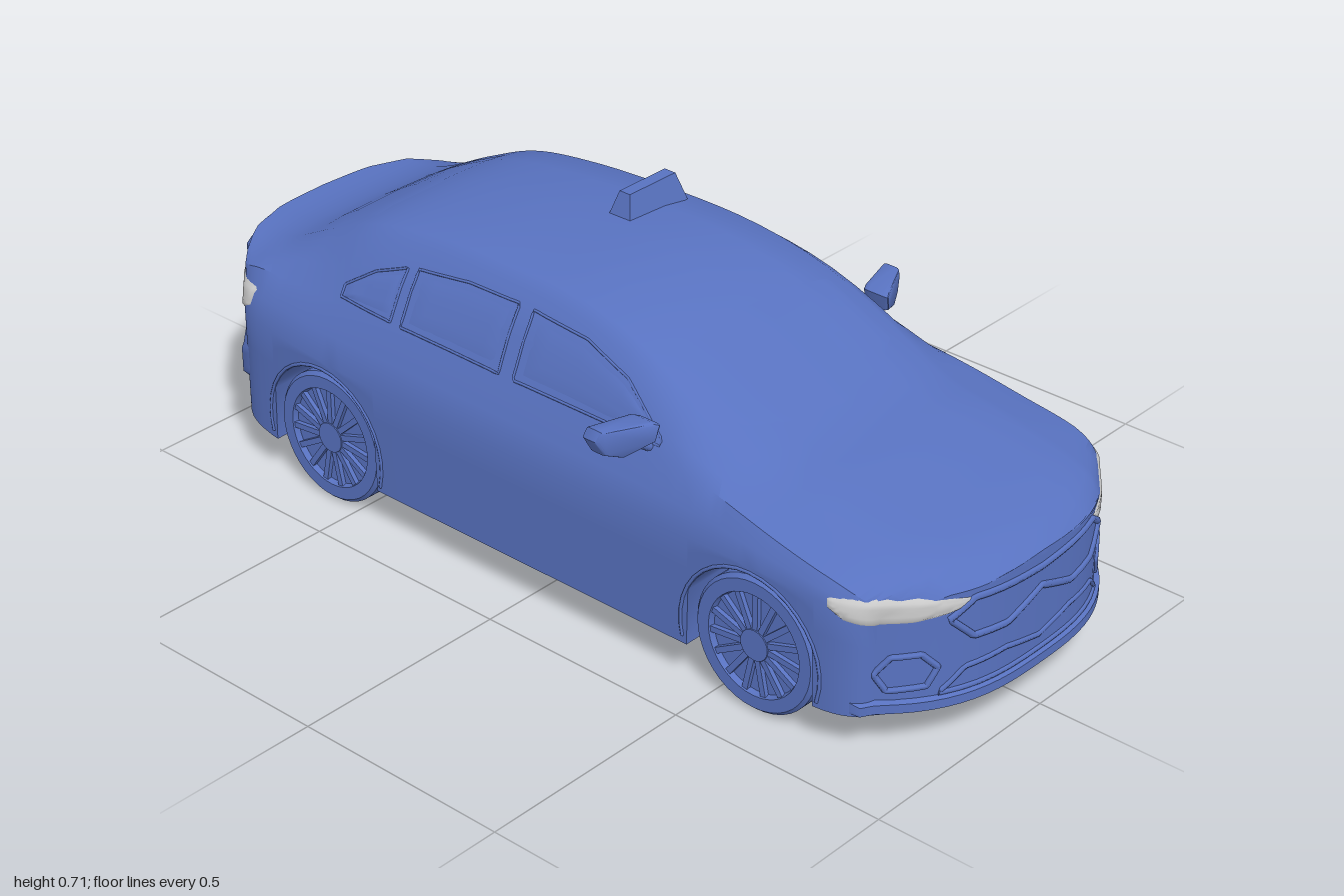
import * as THREE from 'three';
import { toCreasedNormals } from 'three/addons/utils/BufferGeometryUtils.js';

const paint = new THREE.MeshStandardMaterial({ color: 0x5872c0 });
const paintThin = new THREE.MeshStandardMaterial({ color: 0x5872c0, side: THREE.DoubleSide });
const lamp = new THREE.MeshStandardMaterial({ color: 0xcccccc, side: THREE.DoubleSide });
const { lerp, clamp, degToRad } = THREE.MathUtils;

const AXLES = [0.6, -0.575], ARCH = 0.168, CHORD = 0.157, HUB_Y = 0.15;

// Body stations, rear to front:
// z, half width, shoulder y, belt x, belt y, roof edge x, roof edge y, centre top y
const STATIONS = [
  [-0.99, 0.345, 0.36, 0.325, 0.435, 0.25, 0.455, 0.466],
  [-0.92, 0.368, 0.365, 0.335, 0.44, 0.25, 0.458, 0.467],
  [-0.83, 0.388, 0.36, 0.343, 0.452, 0.255, 0.476, 0.489],
  [-0.7, 0.4, 0.35, 0.348, 0.457, 0.26, 0.53, 0.56],
  [-0.57, 0.404, 0.34, 0.35, 0.458, 0.262, 0.583, 0.617],
  [-0.4, 0.405, 0.335, 0.352, 0.457, 0.262, 0.611, 0.648],
  [-0.15, 0.405, 0.335, 0.352, 0.455, 0.265, 0.622, 0.66],
  [0.05, 0.405, 0.335, 0.352, 0.453, 0.272, 0.612, 0.654],
  [0.2, 0.405, 0.335, 0.353, 0.45, 0.285, 0.58, 0.62],
  [0.32, 0.405, 0.335, 0.356, 0.445, 0.298, 0.53, 0.567],
  [0.45, 0.405, 0.335, 0.362, 0.433, 0.295, 0.472, 0.502],
  [0.54, 0.405, 0.335, 0.37, 0.417, 0.275, 0.446, 0.467],
  [0.65, 0.405, 0.335, 0.377, 0.395, 0.27, 0.428, 0.445],
  [0.78, 0.4, 0.33, 0.38, 0.372, 0.27, 0.402, 0.416],
  [0.89, 0.378, 0.315, 0.366, 0.348, 0.27, 0.377, 0.39],
  [0.95, 0.36, 0.3, 0.35, 0.334, 0.27, 0.356, 0.37],
  [0.985, 0.345, 0.285, 0.332, 0.318, 0.26, 0.334, 0.346],
];
const spline = new THREE.CubicInterpolant(
  STATIONS.map(r => r[0]), STATIONS.flatMap(r => r.slice(1)), 7);

// Grid surface; its front is the side of (u direction) x (v direction)
function grid(nu, nv, point, crease = 0.6) {
  const pos = [], idx = [];
  for (let i = 0; i <= nu; i++) for (let j = 0; j <= nv; j++) pos.push(...point(i, j));
  for (let i = 0; i < nu; i++) for (let j = 0; j < nv; j++) {
    const a = i * (nv + 1) + j, b = a + nv + 1;
    idx.push(a, b, a + 1, a + 1, b, b + 1);
  }
  const g = new THREE.BufferGeometry();
  g.setAttribute('position', new THREE.Float32BufferAttribute(pos, 3));
  g.setIndex(idx);
  return toCreasedNormals(g, crease);
}

// Half cross-section from floor centre to roof centre, bowed at nose and tail
function halfSection(z) {
  const [w, ys, xb, yb, xr, yr, yt] = spline.evaluate(z);
  const floor = z < -0.74 ? lerp(0.09, 0.125, (-0.74 - z) / 0.25) : 0.09;
  let low = floor;
  for (const c of AXLES) {
    const d = Math.abs(z - c);
    if (d < CHORD) low = HUB_Y + Math.sqrt(ARCH ** 2 - d * d);
  }
  const t = clamp((Math.abs(z) - 0.77) / 0.215, 0, 1);
  const bow = Math.sign(z) * 0.125 * t ** 1.5;
  return [
    [0, floor], [0.285, floor], [0.285, low], [w, low],
    [w, lerp(low, ys, 0.35)], [w, lerp(low, ys, 0.7)], [w, ys],
    [lerp(w, xb, 0.35), lerp(ys, yb, 0.5)], [xb, yb],
    [lerp(xb, xr, 0.5) + 0.006, lerp(yb, yr, 0.5)], [xr, yr],
    [xr * 0.9, lerp(yr, yt, 0.5)], [xr * 0.55, lerp(yr, yt, 0.85)], [0, yt],
  ].map(([x, y]) => ({ x, y, w, z, bow }));
}
const place = (p, x) => [x, p.y, p.z - p.bow * (Math.abs(x) / p.w) ** 3];

function buildBody() {
  const zs = [];
  for (let i = 0; i <= 7; i++) zs.push(lerp(0.985, 0.785, i / 7), lerp(-0.75, -0.99, i / 7));
  for (const c of AXLES) for (let i = 0; i <= 16; i++) zs.push(c + CHORD * Math.cos(i * Math.PI / 16));
  for (let i = 1; i < 16; i++) zs.push(lerp(0.443, -0.418, i / 16));
  zs.sort((a, b) => b - a);
  const halves = zs.map(halfSection), n = halves[0].length;
  const body = new THREE.Group();
  const shell = new THREE.Mesh(grid(zs.length - 1, 2 * n - 2, (i, j) => {
    const left = j < n, p = halves[i][left ? j : 2 * n - 2 - j];
    return place(p, left ? p.x : -p.x);
  }), paint);
  shell.name = 'bodyShell';
  body.add(shell);
  // Curved nose and tail faces
  for (const [name, half, s] of [['noseFace', halves[0], 1], ['tailFace', halves.at(-1), -1]]) {
    const face = new THREE.Mesh(grid(24, n - 1, (i, j) =>
      place(half[j], s * (i / 12 - 1) * half[j].x)), paint);
    face.name = name;
    body.add(face);
  }
  body.name = 'body';
  return body;
}

export function createModel() {
  const car = new THREE.Group(), half = new THREE.Group();
  car.name = 'car';
  half.name = 'leftSideParts';
  const body = buildBody();
  car.add(body);
  const add = (parent, name, geo, mat = paint) => {
    const m = new THREE.Mesh(geo, mat);
    m.name = name;
    parent.add(m);
    return m;
  };

  // Projectors: 2D coordinates onto the body surface, lifted by d
  const ray = new THREE.Raycaster();
  const cast = (from, dir, d) => {
    ray.set(from, dir);
    const hit = ray.intersectObject(body, true)[0];
    const p = hit ? hit.point.clone() : from.clone().addScaledVector(dir, 1.65);
    return p.addScaledVector(dir, -d);
  };
  const V = (x, y, z) => new THREE.Vector3(x, y, z);
  const fromEnd = s => (x, y, d) => cast(V(x, y, 2 * s), V(0, 0, -s), d);
  const fromSide = (z, y, d) => cast(V(2, y, z), V(-1, 0, 0), d);
  const fromTop = (x, z, d) => cast(V(x, 2, z), V(0, -1, 0), d);
  const around = s => (deg, y, d) => {
    const a = degToRad(deg), dir = V(Math.sin(a), 0, s * Math.cos(a));
    return cast(V(0, y, 0.5 * s).addScaledVector(dir, 2), dir.negate(), d);
  };

  // Raised panel through rows of [a, low, high]
  function panel(parent, name, proj, rows, d, mat = paintThin) {
    const nu = (rows.length - 1) * 5, nv = 6;
    return add(parent, name, grid(nu, nv, (i, j) => {
      const k = Math.min(Math.floor(i / 5), rows.length - 2), t = i / 5 - k;
      const [a, lo, hi] = rows[k].map((v, c) => lerp(v, rows[k + 1][c], t));
      const edge = i === 0 || i === nu || j === 0 || j === nv;
      return proj(a, lerp(lo, hi, j / nv), edge ? -0.003 : d).toArray();
    }, 1.2), mat);
  }
  // Moulding that follows a line on the surface
  function trim(parent, name, proj, pts, r, closed = true) {
    const out = [], n = closed ? pts.length : pts.length - 1;
    for (let i = 0; i < n; i++) for (let k = 0; k < 6; k++) {
      const p = pts[i], q = pts[(i + 1) % pts.length];
      out.push(proj(lerp(p[0], q[0], k / 6), lerp(p[1], q[1], k / 6), 0));
    }
    const path = new THREE.CatmullRomCurve3(out, closed, 'catmullrom', 0.2);
    return add(parent, name, new THREE.TubeGeometry(path, out.length * 2, r, 6, closed));
  }
  const mirrored = pts => [...pts, ...pts.filter(p => p[0] > 0).reverse().map(([x, y]) => [-x, y])];

  // Lamps
  panel(half, 'headlight', around(1),
    [[22, 0.312, 0.324], [28, 0.297, 0.335], [36, 0.287, 0.343], [45, 0.287, 0.35], [51, 0.3, 0.35], [55, 0.325, 0.343]], 0.004, lamp);
  panel(half, 'tailLight', around(-1),
    [[25, 0.375, 0.415], [30, 0.35, 0.42], [37, 0.335, 0.424], [45, 0.345, 0.424], [51, 0.38, 0.422]], 0.005, lamp);

  // Side windows with surrounds
  const windows = {
    frontWindow: [[0.32, 0.463, 0.475], [0.2, 0.463, 0.55], [0.08, 0.463, 0.585], [-0.07, 0.463, 0.594]],
    rearWindow: [[-0.11, 0.463, 0.595], [-0.25, 0.465, 0.592], [-0.39, 0.466, 0.575]],
    quarterWindow: [[-0.42, 0.467, 0.569], [-0.5, 0.469, 0.54], [-0.57, 0.472, 0.495]],
  };
  for (const [name, rows] of Object.entries(windows)) {
    panel(half, name, fromSide, rows, 0.001);
    trim(half, name + 'Surround', fromSide,
      [...rows.map(r => [r[0], r[1]]), ...rows.map(r => [r[0], r[2]]).reverse()], 0.003);
  }

  // Windscreen and rear glass
  panel(car, 'windscreen', fromTop,
    [[-0.25, 0.44, 0.24], [-0.14, 0.505, 0.205], [0, 0.53, 0.195], [0.14, 0.505, 0.205], [0.25, 0.44, 0.24]], 0.001);
  panel(car, 'rearGlass', fromTop,
    [[-0.23, -0.8, -0.58], [0, -0.825, -0.56], [0.23, -0.8, -0.58]], 0.001);

  // Nose: grille, intake, fog lamp surrounds, lower lip
  trim(car, 'grilleFrame', fromEnd(1),
    mirrored([[0, 0.312], [0.185, 0.322], [0.235, 0.287], [0.185, 0.237], [0.1, 0.232], [0, 0.268]]), 0.008);
  trim(car, 'intakeFrame', fromEnd(1),
    mirrored([[0, 0.156], [0.1, 0.176], [0.2, 0.172], [0.25, 0.126], [0, 0.124]]), 0.006);
  trim(half, 'fogLampSurround', fromEnd(1),
    [[0.252, 0.185], [0.28, 0.218], [0.325, 0.216], [0.348, 0.18], [0.33, 0.142], [0.27, 0.146]], 0.007);
  const sweep = (lo, hi) => [-50, -35, -18, 0, 18, 35, 50].map(a => [a, lo, hi]);
  panel(car, 'frontLip', around(1), sweep(0.092, 0.122), 0.012);

  // Tail: bumper, boot lid seam, deck lip, tailpipes
  panel(car, 'rearBumper', around(-1), sweep(0.19, 0.275), 0.012);
  panel(car, 'deckLip', around(-1), sweep(0.425, 0.445).slice(1, -1), 0.01);
  trim(car, 'bootSeam', fromEnd(-1), mirrored([[0, 0.41], [0.2, 0.405], [0.22, 0.35], [0.19, 0.305], [0, 0.3]]), 0.003);
  const pipe = add(half, 'tailpipe', new THREE.CylinderGeometry(0.009, 0.009, 0.06, 10));
  pipe.rotation.x = Math.PI / 2;
  pipe.position.set(0.2, 0.122, -0.95);

  // Wheels and arch lips
  const tyreProfile = [[0, -0.043], [0.14, -0.043], [0.15, -0.034], [0.15, 0.034], [0.142, 0.043],
    [0.114, 0.043], [0.11, 0.03], [0, 0.03]].map(p => new THREE.Vector2(...p));
  const tyreGeo = toCreasedNormals(new THREE.LatheGeometry(tyreProfile, 40).rotateZ(-Math.PI / 2), 0.5);
  const hubGeo = new THREE.CylinderGeometry(0.034, 0.038, 0.014, 20).rotateZ(-Math.PI / 2);
  const spokeGeo = new THREE.BoxGeometry(0.012, 0.082, 0.013).translate(0.034, 0.071, 0);
  AXLES.forEach((z, i) => {
    const wheel = new THREE.Group();
    wheel.name = i ? 'rearWheel' : 'frontWheel';
    wheel.position.set(0.347, HUB_Y, z);
    add(wheel, 'tyre', tyreGeo);
    add(wheel, 'hub', hubGeo).position.x = 0.035;
    for (let k = 0; k < 15; k++) add(wheel, 'spoke', spokeGeo).rotation.x = k * Math.PI * 2 / 15;
    half.add(wheel);
    const arc = [];
    for (let a = -16; a <= 196; a += 10.6) {
      arc.push([z + 0.173 * Math.cos(degToRad(a)), HUB_Y + 0.173 * Math.sin(degToRad(a))]);
    }
    trim(half, 'wheelArchLip', fromSide, arc, 0.004, false);
  });

  // Door mirror, swept back towards its tip
  const outline = [[0.352, 0.51], [0.362, 0.515], [0.452, 0.515], [0.46, 0.5], [0.445, 0.47], [0.415, 0.459], [0.36, 0.48]];
  const headGeo = new THREE.ExtrudeGeometry(new THREE.Shape(outline.map(p => new THREE.Vector2(...p))),
    { depth: 0.03, bevelThickness: 0.012, bevelSize: 0.005, bevelSegments: 3 });
  const hp = headGeo.attributes.position;
  for (let i = 0; i < hp.count; i++) hp.setZ(i, hp.getZ(i) * (1.2 - (hp.getX(i) - 0.35) * 4) + 0.275 - (hp.getX(i) - 0.35) * 0.35);
  add(half, 'mirrorHead', toCreasedNormals(headGeo, 0.7));
  const arm = new THREE.LineCurve3(V(0.335, 0.448, 0.3), V(0.385, 0.478, 0.285));
  add(half, 'mirrorArm', new THREE.TubeGeometry(arm, 1, 0.011, 8));

  // Roof sign, tapering upwards
  const signGeo = new THREE.BoxGeometry(0.178, 0.062, 0.064);
  const sp = signGeo.attributes.position;
  for (let i = 0; i < sp.count; i++) if (sp.getY(i) > 0) {
    sp.setX(i, sp.getX(i) * 0.78);
    sp.setZ(i, sp.getZ(i) * 0.45);
  }
  signGeo.computeVertexNormals();
  add(car, 'roofSign', signGeo).position.set(0.125, 0.677, -0.135);

  // Mirror the side parts
  const right = half.clone();
  right.name = 'rightSideParts';
  right.scale.x = -1;
  car.add(half, right);
  return car;
}
